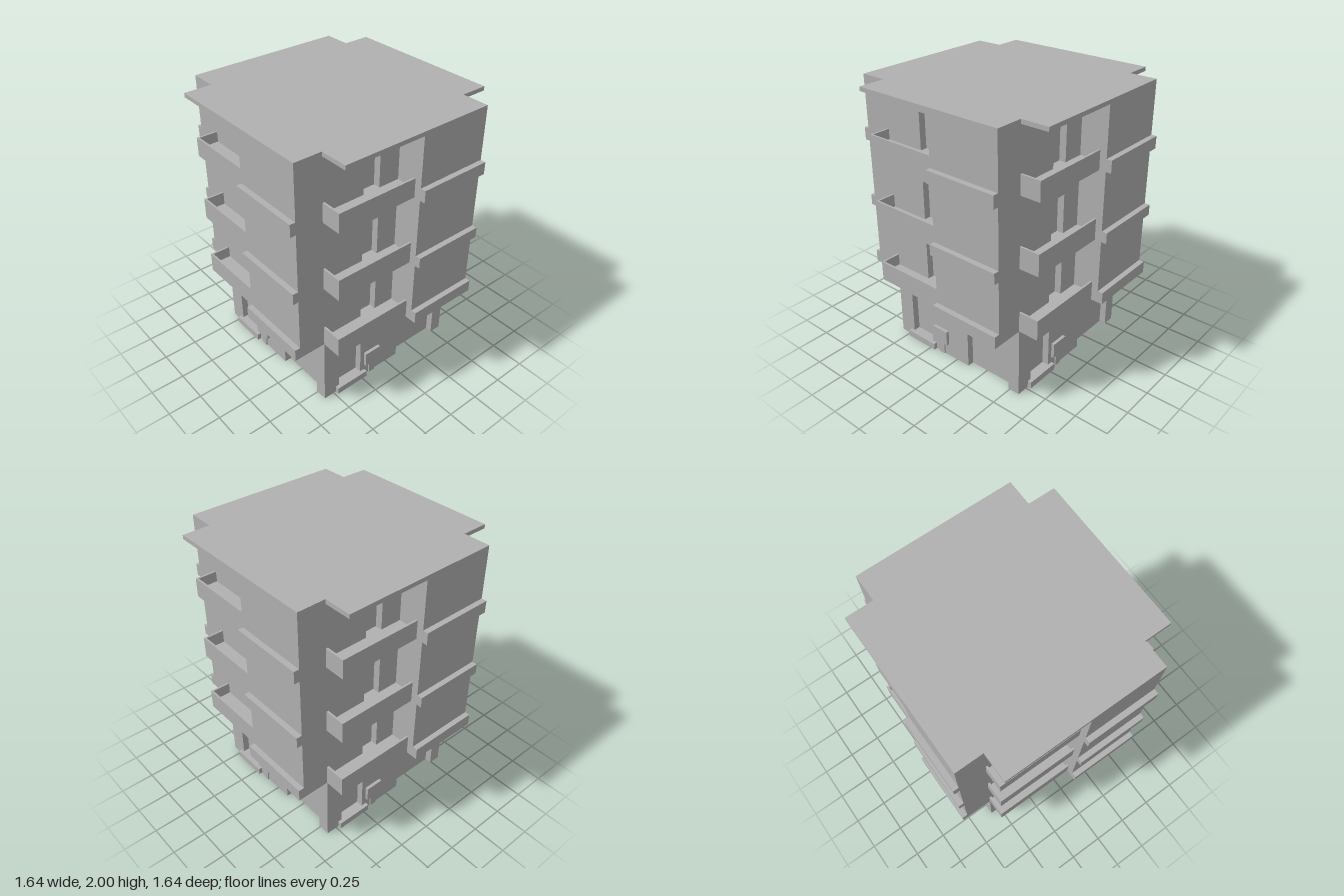
import * as THREE from 'three';

const concrete = new THREE.MeshStandardMaterial({ color: 0xb0b0b0, side: THREE.DoubleSide });
concrete.name = 'concrete grey';

const CORE = 0.58;   // half width of the tower core
const BAY = 0.78;    // reach of bays and roof
const BALCONY = 0.73; // reach of balconies
const RECESS = 0.05; // depth of door and gate niches

// Upper storeys: slab underside, ledge top, parapet top, door top
const STOREYS = [
  { base: 0.53, ledge: 0.62, rail: 0.68, door: 0.905 },
  { base: 1.01, ledge: 1.09, rail: 1.17, door: 1.36 },
  { base: 1.52, ledge: 1.61, rail: 1.66, door: 1.85 },
];

// Box given by its minimum and maximum on each axis
function box(parent, name, x0, x1, y0, y1, z0, z1) {
  const mesh = new THREE.Mesh(new THREE.BoxGeometry(x1 - x0, y1 - y0, z1 - z0), concrete);
  mesh.position.set((x0 + x1) / 2, (y0 + y1) / 2, (z0 + z1) / 2);
  mesh.name = name;
  parent.add(mesh);
}

// Back panel of a niche
function panel(parent, name, x0, x1, y0, y1) {
  const mesh = new THREE.Mesh(new THREE.PlaneGeometry(x1 - x0, y1 - y0), concrete);
  mesh.position.set((x0 + x1) / 2, (y0 + y1) / 2, CORE - RECESS);
  mesh.name = name;
  parent.add(mesh);
}

function rectPath(x0, x1, y0, y1) {
  return new THREE.Path([[x0, y0], [x0, y1], [x1, y1], [x1, y0]].map((p) => new THREE.Vector2(...p)));
}

// One side of the tower, facing +z
function createSide() {
  const side = new THREE.Group();
  side.name = 'towerSide';

  // Core wall, with the gate cut out of its lower edge
  const outline = [[-CORE, 0], [0.11, 0], [0.11, 0.36], [0.49, 0.36], [0.49, 0], [CORE, 0], [CORE, 1.98], [-CORE, 1.98]];
  const shape = new THREE.Shape(outline.map((p) => new THREE.Vector2(...p)));
  shape.holes.push(rectPath(-0.45, -0.25, 0.05, 0.375));
  for (const s of STOREYS) shape.holes.push(rectPath(-0.26, -0.13, s.base + 0.065, s.door));
  const wall = new THREE.Mesh(
    new THREE.ExtrudeGeometry(shape, { depth: RECESS, bevelEnabled: false }), concrete);
  wall.position.z = CORE - RECESS;
  wall.name = 'coreWall';
  side.add(wall);

  // Ground floor fittings
  panel(side, 'gate', 0.11, 0.49, 0, 0.36);
  panel(side, 'entranceDoor', -0.45, -0.25, 0.05, 0.375);
  box(side, 'doorstep', -0.48, -0.21, 0, 0.05, CORE - 0.025, 0.608);
  box(side, 'meterBox', -0.215, -0.08, 0.10, 0.215, CORE - 0.02, 0.603);
  box(side, 'meterPost', -0.17, -0.12, 0, 0.10, CORE - 0.01, 0.59);

  // Projecting bay and roof overhang
  box(side, 'bay', 0.03, CORE, 0.53, 2, CORE, BAY);
  box(side, 'roofOverhang', -CORE, 0.03, 1.97, 2, CORE, BAY);

  for (const s of STOREYS) {
    const floor = s.base + 0.065;
    const t = 0.015;
    box(side, 'bayLedge', 0.03, CORE, s.base, s.ledge, BAY, 0.82);
    panel(side, 'balconyDoor', -0.26, -0.13, floor, s.door);
    box(side, 'balconyFloor', -CORE, 0.03, s.base, floor, CORE, BALCONY);
    box(side, 'balconyParapet', -CORE, 0.03, floor, s.rail, BALCONY - t, BALCONY);
    box(side, 'balconyEnd', -CORE, -CORE + t, floor, s.rail, CORE, BALCONY - t);
  }
  return side;
}

export function createModel() {
  const tower = new THREE.Group();
  tower.name = 'apartmentTower';

  // Four identical sides around the vertical axis
  for (let i = 0; i < 4; i++) {
    const side = createSide();
    side.rotation.y = (i * Math.PI) / 2;
    tower.add(side);
  }
  box(tower, 'roof', -CORE, CORE, 1.97, 2, -CORE, CORE);
  const inner = CORE - RECESS;
  box(tower, 'groundFloorCeiling', -inner, inner, 0.53, 0.55, -inner, inner);
  return tower;
}
